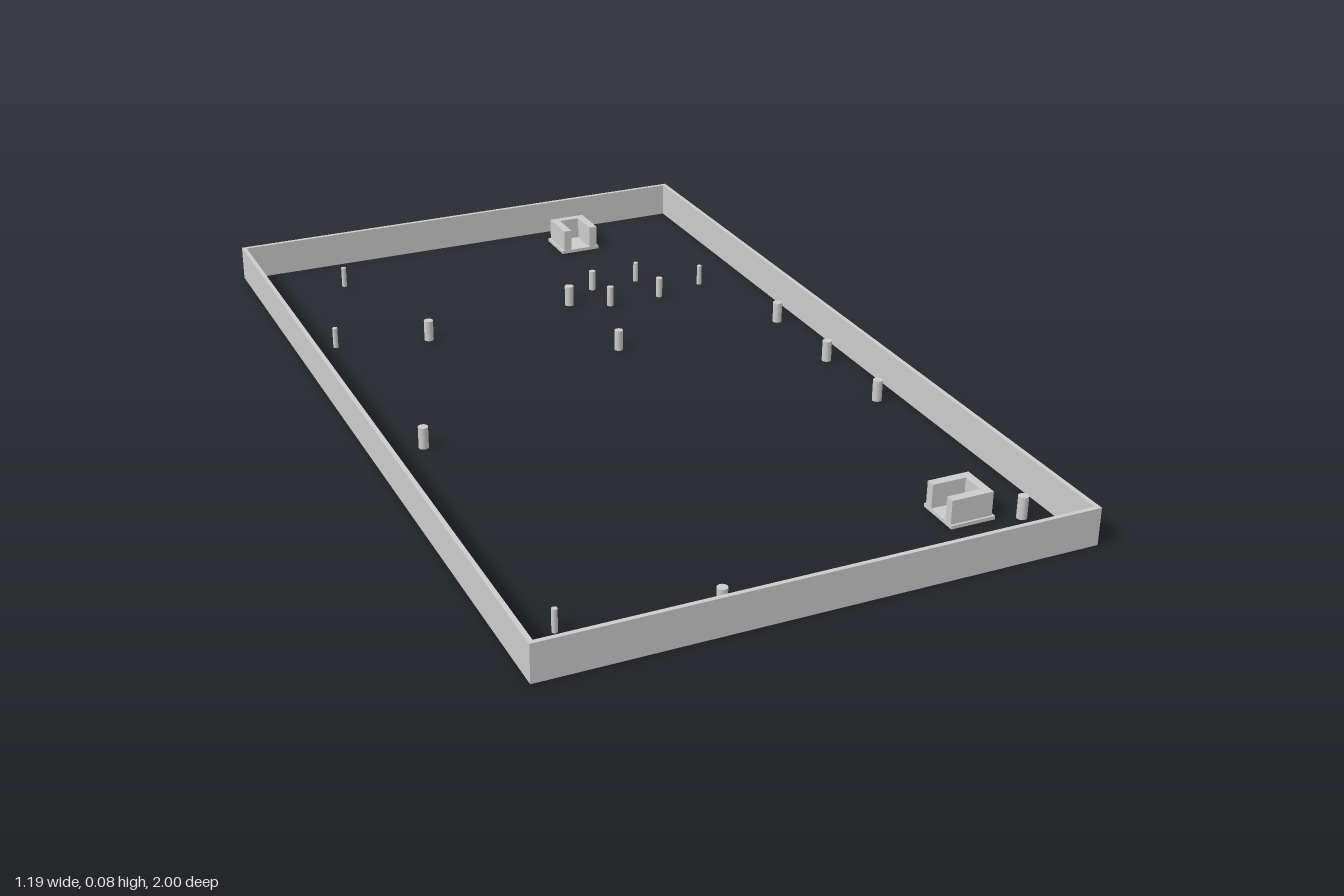
import * as THREE from 'three';

const material = new THREE.MeshStandardMaterial({ color: 0xcccccc });

function add(parent, name, geometry, x = 0, y = 0, z = 0) {
  const mesh = new THREE.Mesh(geometry, material);
  mesh.name = name;
  mesh.position.set(x, y, z);
  parent.add(mesh);
  return mesh;
}

// Extrudes a plan drawn in x and -z upwards by the given height
function upright(shape, height) {
  return new THREE.ExtrudeGeometry(shape, { depth: height, bevelEnabled: false }).rotateX(-Math.PI / 2);
}

const rectangle = (w, d) => [[-w, -d], [w, -d], [w, d], [-w, d]].map(([x, y]) => new THREE.Vector2(x, y));

// U-shaped holder on a thin plate, open towards +z
function createHolder(name) {
  const holder = new THREE.Group();
  holder.name = name;
  add(holder, 'holderPlate', new THREE.BoxGeometry(0.102, 0.008, 0.102), 0, 0.004, 0);
  const outline = [[-0.046, -0.05], [-0.026, -0.05], [-0.026, 0.027], [0.026, 0.027],
    [0.026, -0.05], [0.046, -0.05], [0.046, 0.046], [-0.046, 0.046]];
  const shape = new THREE.Shape(outline.map(([x, y]) => new THREE.Vector2(x, y)));
  add(holder, 'holderWalls', upright(shape, 0.054), 0, 0.008, 0);
  return holder;
}

export function createModel() {
  const model = new THREE.Group();
  model.name = 'openFrameWithPegs';

  // Rectangular rim, open above and below
  const rim = new THREE.Shape(rectangle(0.595, 1));
  rim.holes.push(new THREE.Path(rectangle(0.585, 0.99).reverse()));
  add(model, 'rim', upright(rim, 0.083));

  // Two holders, the front one turned to open sideways
  const backHolder = createHolder('backHolder');
  backHolder.position.set(0.267, 0, -0.874);
  const frontHolder = createHolder('frontHolder');
  frontHolder.position.set(0.417, 0, 0.783);
  frontHolder.rotation.y = -Math.PI / 2;
  model.add(backHolder, frontHolder);

  // Standing pegs: x, z, radius
  const pegs = [
    [-0.375, -0.845, 0.006], [-0.502, -0.493, 0.006], [-0.285, -0.446, 0.011],
    [0.103, -0.506, 0.011], [0.194, -0.573, 0.008], [0.317, -0.58, 0.006],
    [0.195, -0.462, 0.008], [0.33, -0.465, 0.008], [0.457, -0.497, 0.006],
    [0.108, -0.213, 0.01], [0.529, -0.209, 0.011], [0.529, 0.037, 0.011],
    [0.529, 0.268, 0.011], [-0.477, 0.08, 0.011], [-0.493, 0.862, 0.006],
    [-0.183, 0.918, 0.011], [0.521, 0.849, 0.011],
  ];
  for (const [x, z, r] of pegs) {
    add(model, 'peg', new THREE.CylinderGeometry(r, r, 0.05, 20), x, 0.025, z);
  }
  return model;
}
